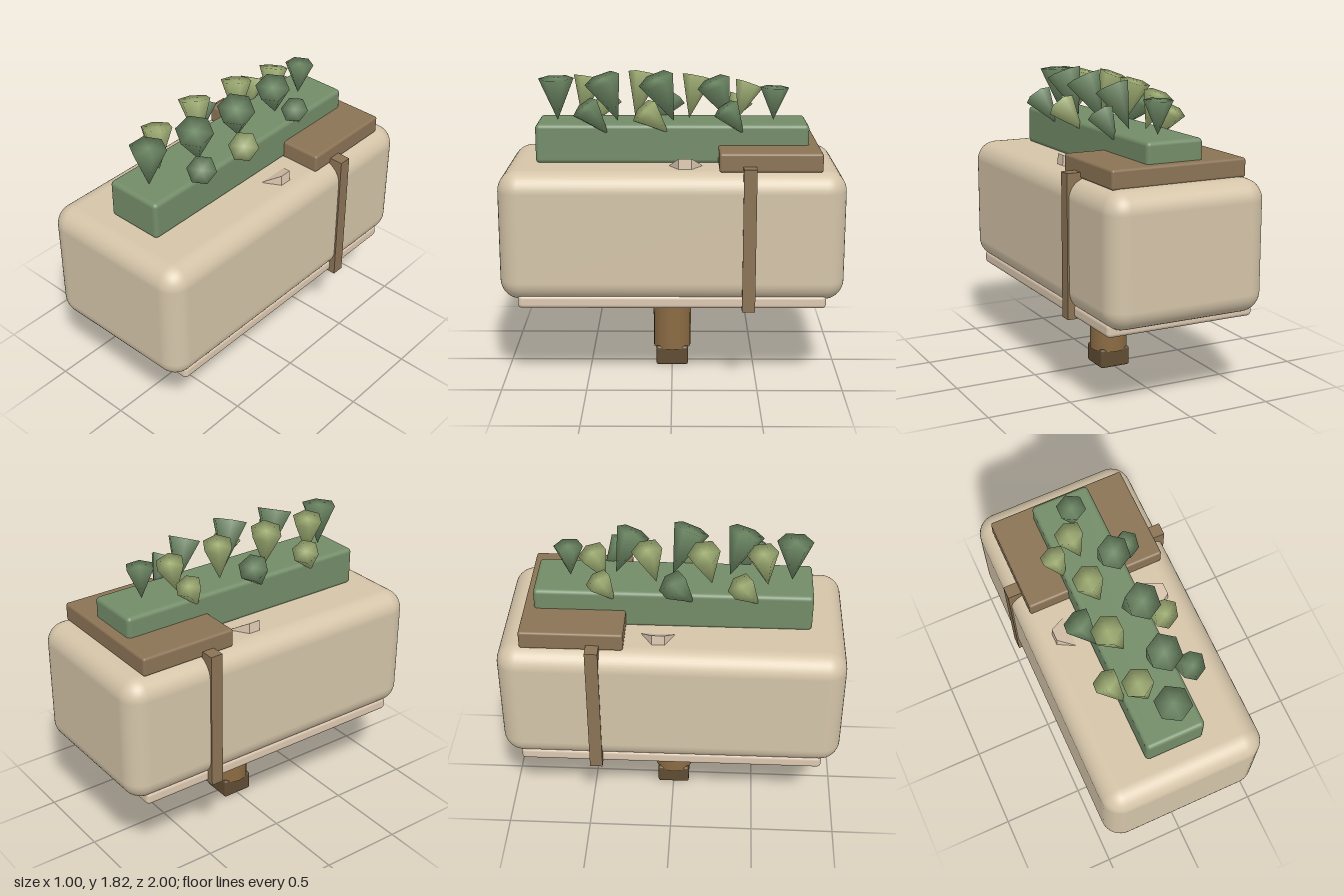
import * as THREE from 'three';
import { mergeVertices } from 'three/addons/utils/BufferGeometryUtils.js';
import { RoundedBoxGeometry } from 'three/addons/geometries/RoundedBoxGeometry.js';
import { ConvexGeometry } from 'three/addons/geometries/ConvexGeometry.js';

const mat = (color) => new THREE.MeshStandardMaterial({ color });
const V = (x, y, z) => new THREE.Vector3(x, y, z);

export function createModel() {
  const model = new THREE.Group();
  model.name = 'planterBlock';
  const sand = mat(0xd4c4a8), brown = mat(0x8b7355), green = mat(0x738c68);
  const wood = mat(0x8b6b43), darkWood = mat(0x5f4c33), shell = mat(0xdcc8b0);
  const darkLeaf = mat(0x6f8a66), lightLeaf = mat(0xa3b277);

  const add = (name, geometry, material, parent = model) => {
    const mesh = new THREE.Mesh(geometry, material);
    mesh.name = name;
    parent.add(mesh);
    return mesh;
  };
  // rounded box given by width, depth, bottom, top, centre z and corner radius
  const block = (name, w, d, y0, y1, z, r, material) =>
    add(name, new RoundedBoxGeometry(w, y1 - y0, d, 5, r), material).position.set(0, (y0 + y1) / 2, z);

  // body, its base plate, the saddle and the planting bed
  block('body', 0.98, 2, 0.53, 1.295, 0, 0.12, sand);
  block('basePlate', 0.92, 1.79, 0.49, 0.57, 0, 0.025, shell);
  block('saddle', 0.835, 0.59, 1.29, 1.4, -0.565, 0.015, brown);
  block('plantingBed', 0.35, 1.6, 1.29, 1.52, 0, 0.025, green);

  // strap around the body
  add('strap', new THREE.BoxGeometry(1, 0.84, 0.075), brown).position.set(0, 0.905, -0.443);

  // post and foot
  add('post', new THREE.CylinderGeometry(0.115, 0.115, 0.4, 20), wood).position.y = 0.305;
  block('foot', 0.195, 0.195, 0, 0.12, 0, 0.015, darkWood);

  // small tilted half-hexagon ears
  for (const s of [-1, 1]) {
    const points = [];
    for (const k of [-1, 1]) {
      points.push(V(s * 0.255, 1.3, -0.08 + k * 0.095), V(s * 0.35, 1.357, -0.075 + k * 0.036),
        V(s * 0.355, 1.28, -0.075 + k * 0.036), V(s * 0.265, 1.27, -0.08 + k * 0.085));
    }
    add(s > 0 ? 'leftEar' : 'rightEar', new ConvexGeometry(points), shell);
  }

  // six-sided cone standing on its tip, with soft shading across its cap
  const cone = (height, radius) => {
    let g = new THREE.ConeGeometry(radius, height, 6);
    g.rotateX(Math.PI);
    g.deleteAttribute('normal');
    g.deleteAttribute('uv');
    g = mergeVertices(g, 1e-4);
    g.computeVertexNormals();
    return g;
  };

  // plants: tip, cap centre, cap radius, light leaf or not
  const plants = [
    [0, 1.52, -0.6, 0, 1.715, -0.605, 0.085, 0],
    [-0.04, 1.52, -0.39, -0.08, 1.725, -0.46, 0.085, 1],
    [0.04, 1.52, -0.34, 0.1, 1.755, -0.24, 0.1, 0],
    [-0.05, 1.52, -0.1, -0.1, 1.765, -0.15, 0.09, 1],
    [0.04, 1.52, -0.01, 0.12, 1.775, 0.095, 0.108, 0],
    [-0.05, 1.52, 0.22, -0.13, 1.775, 0.17, 0.095, 1],
    [0.04, 1.52, 0.32, 0.1, 1.775, 0.41, 0.108, 0],
    [-0.05, 1.52, 0.54, -0.1, 1.76, 0.5, 0.09, 1],
    [0.01, 1.52, 0.68, 0.02, 1.77, 0.685, 0.105, 0],
    [0.16, 1.46, -0.42, 0.21, 1.62, -0.31, 0.08, 0],
    [0.16, 1.47, 0.02, 0.235, 1.61, 0.16, 0.088, 1],
    [0.16, 1.46, 0.37, 0.235, 1.63, 0.5, 0.085, 0],
    [-0.16, 1.46, -0.33, -0.2, 1.62, -0.42, 0.078, 1],
    [-0.16, 1.46, 0.12, -0.235, 1.63, 0, 0.09, 0],
    [-0.16, 1.46, 0.49, -0.235, 1.63, 0.38, 0.082, 1],
  ];
  const planting = new THREE.Group();
  planting.name = 'plants';
  model.add(planting);
  for (const [x0, y0, z0, x1, y1, z1, radius, light] of plants) {
    const tip = V(x0, y0, z0), axis = V(x1, y1, z1).sub(tip);
    const plant = add('plant', cone(axis.length(), radius), light ? lightLeaf : darkLeaf, planting);
    plant.position.copy(tip).addScaledVector(axis, 0.5);
    plant.quaternion.setFromUnitVectors(V(0, 1, 0), axis.normalize());
  }
  return model;
}
